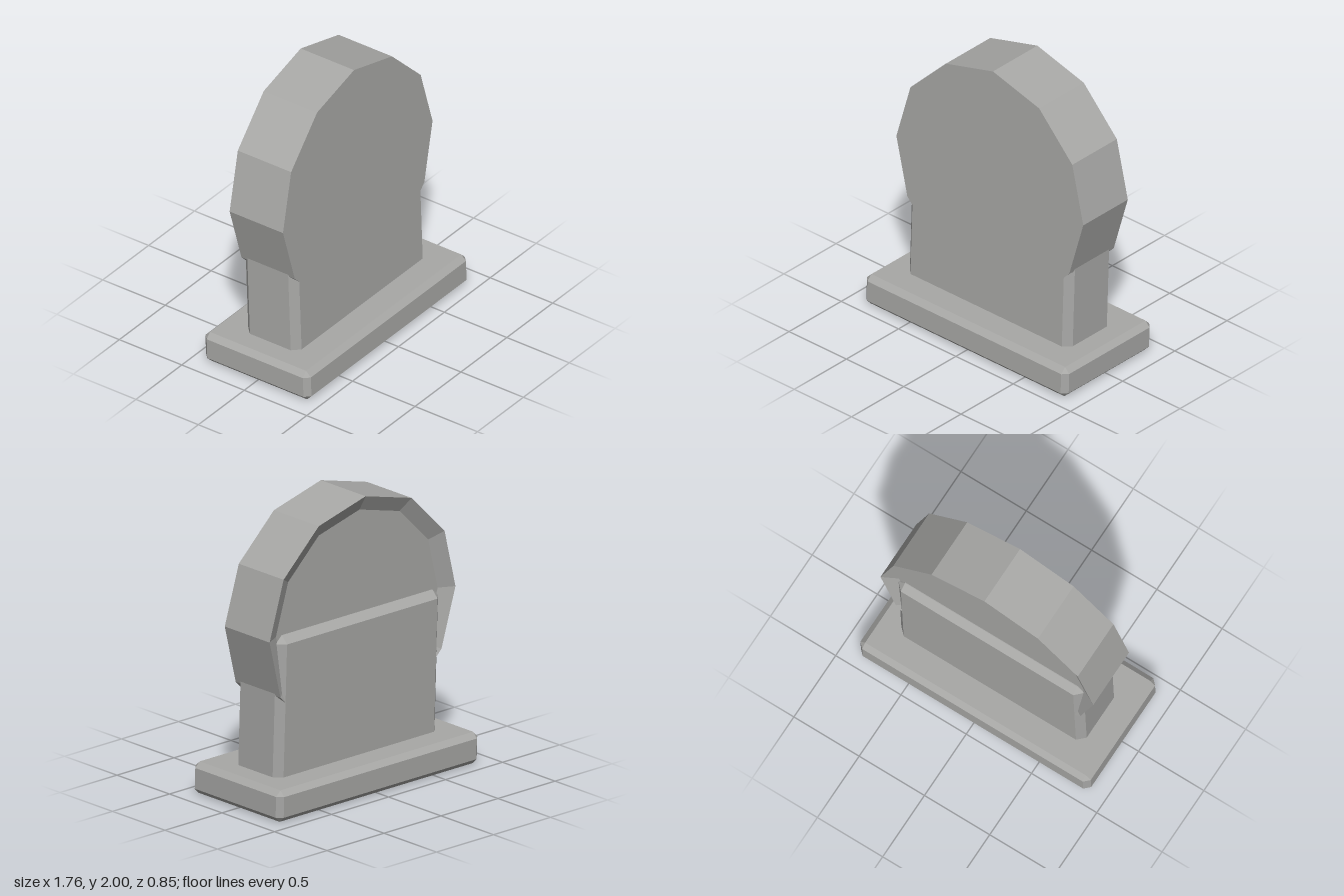
import * as THREE from 'three';
import { ConvexGeometry } from 'three/addons/geometries/ConvexGeometry.js';

const LEAN = 0.0365;   // how far the stone leans back per unit of height
const PIVOT = 0.11;

// Slants a geometry backwards and gives it faceted normals
function lean(geometry) {
  const g = geometry.index ? geometry.toNonIndexed() : geometry;
  const p = g.attributes.position;
  for (let i = 0; i < p.count; i++) {
    p.setZ(i, p.getZ(i) - LEAN * (p.getY(i) - PIVOT));
  }
  g.computeVertexNormals();
  return g;
}

// Box with every edge cut at 45 degrees, standing between y0 and y1
function chamferedBox(hx, y0, y1, hz, c) {
  const points = [];
  const hy = (y1 - y0) / 2;
  const mid = (y0 + y1) / 2;
  for (const sx of [-1, 1]) for (const sy of [-1, 1]) for (const sz of [-1, 1]) {
    for (let axis = 0; axis < 3; axis++) {
      const cut = [c, c, c];
      cut[axis] = 0;
      points.push(new THREE.Vector3(
        sx * (hx - cut[0]), mid + sy * (hy - cut[1]), sz * (hz - cut[2])));
    }
  }
  return new ConvexGeometry(points);
}

export function createModel() {
  const group = new THREE.Group();
  group.name = 'gravestone';
  const stone = new THREE.MeshStandardMaterial({ color: 0xa8a8a6 });
  stone.name = 'grey stone';

  const add = (name, geometry) => {
    const mesh = new THREE.Mesh(lean(geometry), stone);
    mesh.name = name;
    group.add(mesh);
  };

  // Plinth
  add('base', chamferedBox(0.882, 0, 0.217, 0.422, 0.037));

  // Upright slab, ending at the middle of the round head
  const half = 0.2135;
  add('slab', chamferedBox(0.71, 0.1, 1.185, half, 0.05));

  // Twelve-sided head, flat in front and dished at the back
  const radius = 0.815;
  const dish = 0.055;
  const head = new THREE.LatheGeometry([
    new THREE.Vector2(0, -half + dish),
    new THREE.Vector2(radius * 0.87, -half + dish),
    new THREE.Vector2(radius, -half),
    new THREE.Vector2(radius, half),
    new THREE.Vector2(0, half),
  ], 12);
  head.rotateX(Math.PI / 2);
  head.translate(0, 1.185, 0);
  add('roundHead', head);

  return group;
}
